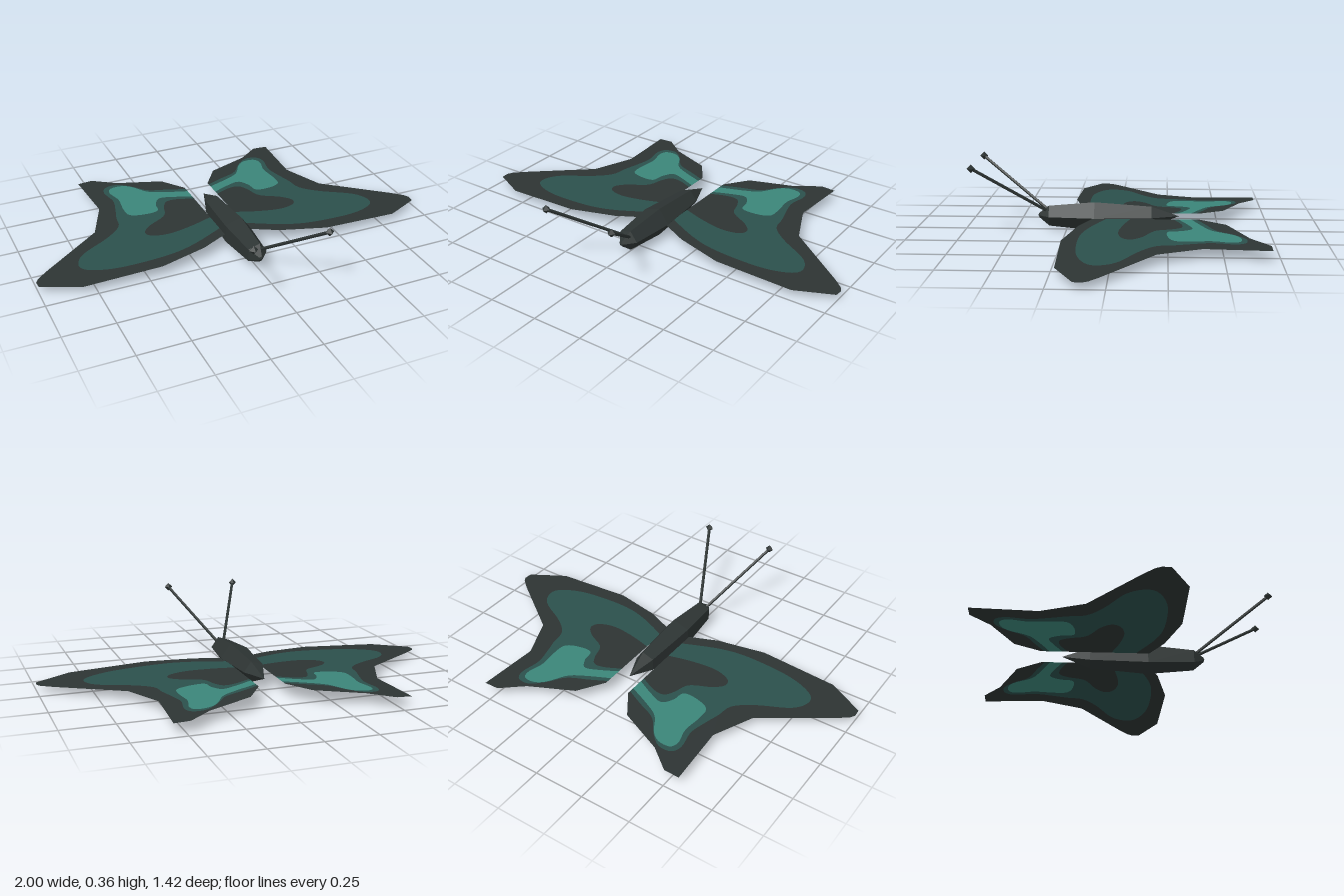
import * as THREE from 'three';

const dark = new THREE.MeshStandardMaterial({ color: 0x2d3433, side: THREE.DoubleSide });
dark.name = 'charcoal';
const mid = new THREE.MeshStandardMaterial({ color: 0x2b504c, side: THREE.DoubleSide });
mid.name = 'deep teal';
const bright = new THREE.MeshStandardMaterial({ color: 0x3b8579, side: THREE.DoubleSide });
bright.name = 'bright teal';
const shell = new THREE.MeshStandardMaterial({ color: 0x2d3433, flatShading: true });
shell.name = 'body charcoal';

// All wing lines are [x, z] and run from the wing root out and back to the root.
const outline = [[.065, -.405], [.15, -.53], [.37, -.625], [.48, -.712], [.556, -.712], [.537, -.405],
  [.626, -.2], [.936, .028], [.985, .07], [1, .095], [.997, .135], [.82, .226], [.433, .236], [.2, .178], [.065, .115]];
const smooth = (pts) => new THREE.SplineCurve(pts.map((p) => new THREE.Vector2(...p)))
  .getPoints(pts.length * 4).map((v) => [v.x, v.y]);
const bandEdge = smooth([[.065, -.39], [.15, -.43], [.25, -.475], [.31, -.55], [.375, -.605], [.44, -.602],
  [.463, -.55], [.447, -.45], [.465, -.36], [.487, -.28], [.505, -.195], [.59, -.12], [.73, -.04], [.78, .03],
  [.77, .09], [.69, .135], [.57, .158], [.37, .158], [.23, .125], [.065, .05]]);
const spotEdge = smooth([[.065, -.365], [.18, -.415], [.255, -.46], [.31, -.545], [.36, -.582], [.42, -.58],
  [.437, -.535], [.418, -.45], [.427, -.35], [.42, -.28], [.36, -.25], [.278, -.25], [.262, -.315],
  [.225, -.365], [.155, -.345], [.065, -.302]]);
const patchEdge = smooth([[.065, -.278], [.15, -.315], [.205, -.315], [.235, -.27], [.265, -.19], [.36, -.135],
  [.405, -.085], [.385, -.04], [.3, -.018], [.18, -.035], [.065, -.068]]);
const back = (pts) => [...pts].reverse();

// Flat areas that share their border lines, so nothing overlaps.
const areas = [
  ['wingRim', dark, [...outline, ...back(bandEdge)]],
  ['wingBand', mid, [...bandEdge, ...back(patchEdge), ...back(spotEdge)]],
  ['wingSpot', bright, spotEdge],
  ['wingPatch', dark, patchEdge],
];

function makeWing(side) {
  const wing = new THREE.Group();
  wing.name = side > 0 ? 'leftWing' : 'rightWing';
  for (const [name, material, pts] of areas) {
    const shape = new THREE.Shape(pts.map(([x, z]) => new THREE.Vector2(x * side, -z)));
    const mesh = new THREE.Mesh(new THREE.ShapeGeometry(shape).rotateX(-Math.PI / 2), material);
    mesh.name = name;
    wing.add(mesh);
  }
  // Wings droop slightly outwards
  wing.rotation.z = -0.043 * side;
  wing.position.y = 0.073;
  return wing;
}

function makeAntenna(side) {
  const antenna = new THREE.Group();
  antenna.name = side > 0 ? 'leftAntenna' : 'rightAntenna';
  const a = new THREE.Vector3(.02 * side, .1, .35);
  const b = new THREE.Vector3(.184 * side, .335, .686);
  const dir = b.clone().sub(a);
  const stalk = new THREE.Mesh(new THREE.CylinderGeometry(.008, .008, dir.length(), 5), shell);
  stalk.name = 'antennaStalk';
  stalk.position.copy(a).lerp(b, .5);
  stalk.quaternion.setFromUnitVectors(new THREE.Vector3(0, 1, 0), dir.normalize());
  const tip = new THREE.Mesh(new THREE.OctahedronGeometry(.021), shell);
  tip.name = 'antennaTip';
  tip.position.copy(b);
  antenna.add(stalk, tip);
  return antenna;
}

export function createModel() {
  const model = new THREE.Group();
  model.name = 'butterfly';

  // Five-sided spindle body, pointed tail at the back
  const profile = [[0, -.305], [.053, -.17], [.075, .11], [.053, .335], [.012, .385], [0, .39]];
  const bodyGeometry = new THREE.LatheGeometry(profile.map((p) => new THREE.Vector2(...p)), 5, Math.PI / 2);
  const body = new THREE.Mesh(bodyGeometry.rotateX(Math.PI / 2), shell);
  body.name = 'body';
  body.position.y = .0715;
  model.add(body);

  for (const side of [1, -1]) model.add(makeWing(side), makeAntenna(side));
  return model;
}
